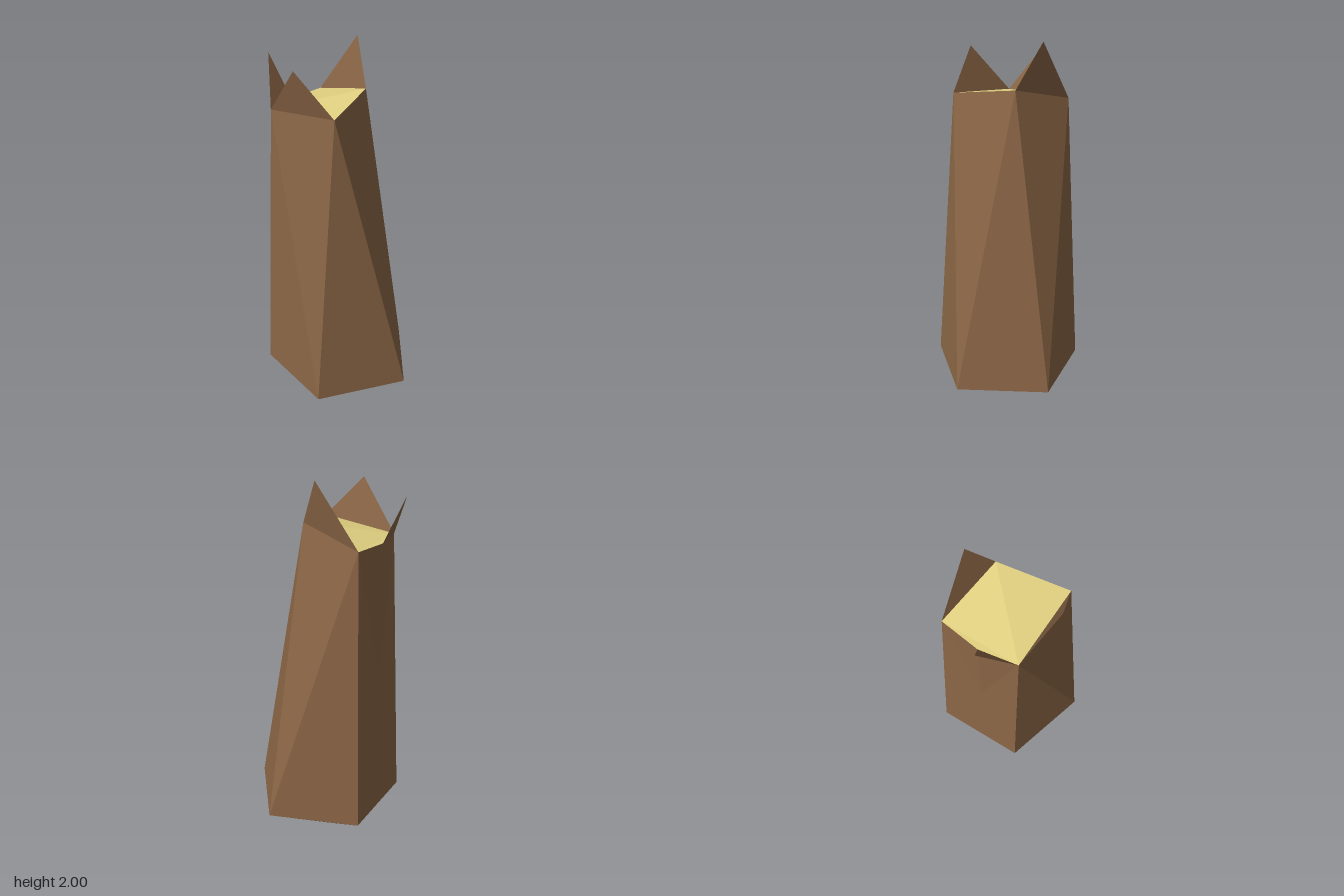
import * as THREE from 'three';

// Flat-shaded mesh from a list of triangles, each three corner points
function facets(name, color, triangles) {
  const geometry = new THREE.BufferGeometry();
  geometry.setAttribute('position', new THREE.Float32BufferAttribute(triangles.flat(2), 3));
  geometry.computeVertexNormals();
  const material = new THREE.MeshStandardMaterial({ color, flatShading: true, side: THREE.DoubleSide });
  const mesh = new THREE.Mesh(geometry, material);
  mesh.name = name;
  return mesh;
}

export function createModel() {
  const group = new THREE.Group();
  group.name = 'treeStump';
  const bark = 0x8b6646;
  const wood = 0xe0d080;

  // Five-sided base ring
  const baseY = 0.24;
  const back = [0, baseY, -0.37];
  const left = [0.385, baseY, -0.09];
  const frontLeft = [0.24, baseY, 0.367];
  const frontRight = [-0.24, baseY, 0.367];
  const right = [-0.385, baseY, -0.09];
  const baseRing = [frontRight, frontLeft, left, back, right];

  // Uneven broken rim
  const rimBack = [0.025, 1.775, -0.088];
  const rimLeft = [0.195, 1.73, 0.218];
  const rimFront = [-0.195, 1.69, 0.315];
  const rimRight = [-0.315, 1.695, -0.055];
  const rimBulge = [-0.28, 1.69, 0.145];
  const bulgeFoot = [-0.28, 1.03, 0.145];

  // Tapering trunk walls
  group.add(facets('trunk', bark, [
    [frontRight, frontLeft, rimFront], [frontLeft, rimLeft, rimFront],
    [frontLeft, left, rimLeft], [left, rimBack, rimLeft],
    [left, back, rimBack],
    [back, rimRight, rimBack], [back, right, rimRight],
    [right, frontRight, rimFront], [right, rimFront, rimRight],
    [rimRight, bulgeFoot, rimBulge], [bulgeFoot, rimFront, rimBulge],
  ]));

  // Pointed root below the base ring
  const rootTip = [-0.055, 0, 0.075];
  group.add(facets('root', bark,
    baseRing.map((p, i) => [p, rootTip, baseRing[(i + 1) % baseRing.length]])));

  // Pale cut wood on top
  group.add(facets('cutWood', wood, [
    [rimBack, rimFront, rimLeft],
    [rimBack, rimRight, rimFront],
    [rimRight, rimBulge, rimFront],
  ]));

  // Thin bark splinters standing on the rim
  group.add(facets('frontSplinter', bark, [[rimFront, rimLeft, [0.03, 1.935, 0.325]]]));
  group.add(facets('backSplinter', bark, [[rimBack, rimRight, [-0.103, 2, -0.132]]]));
  group.add(facets('rightSplinter', bark, [[rimBulge, rimFront, [-0.352, 1.918, 0.222]]]));

  return group;
}
